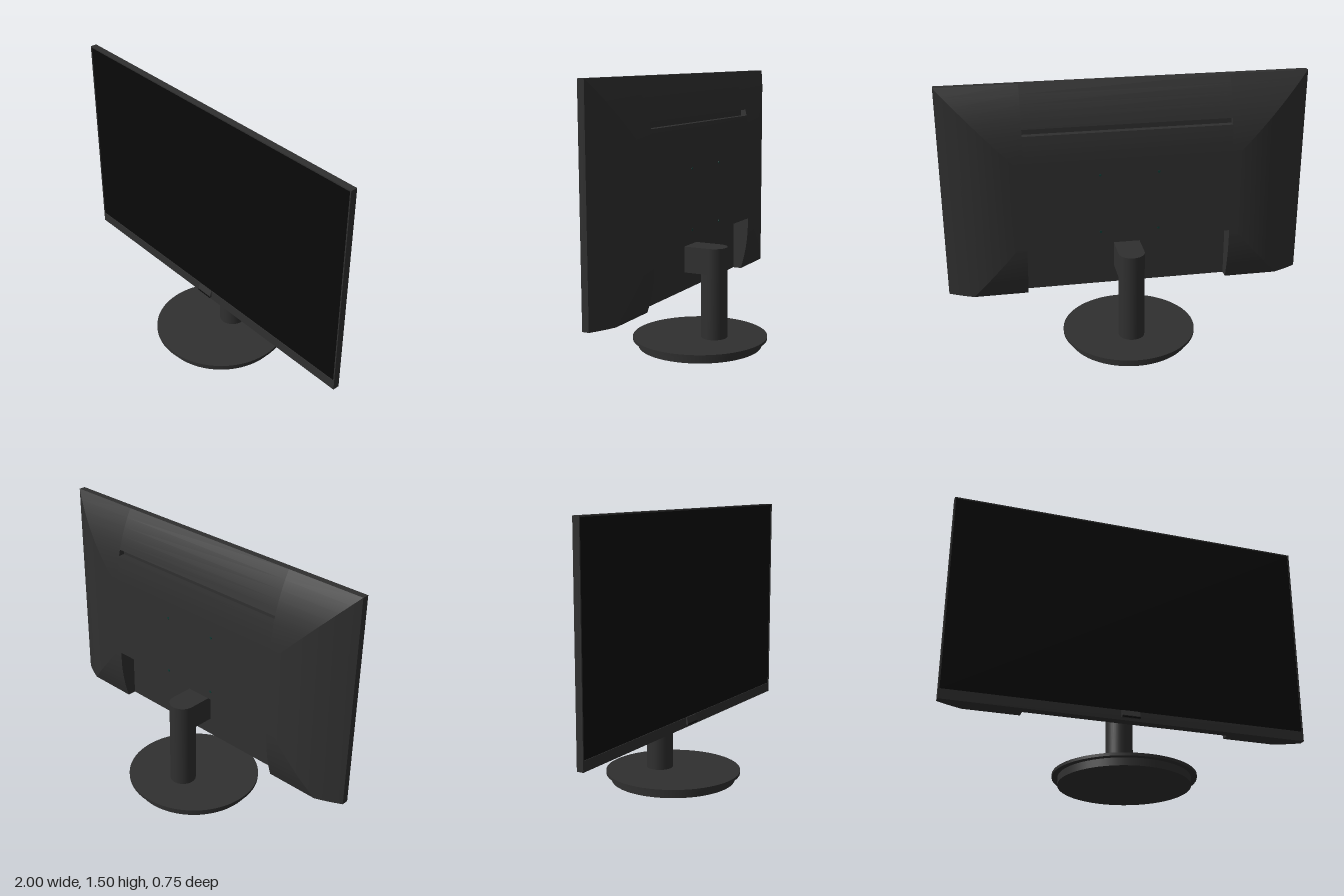
import * as THREE from 'three';
import { mergeGeometries } from 'three/addons/utils/BufferGeometryUtils.js';

const plastic = new THREE.MeshStandardMaterial({ color: 0x303030 });
const shellMat = new THREE.MeshStandardMaterial({ color: 0x303030, side: THREE.DoubleSide });
const darkMat = new THREE.MeshStandardMaterial({ color: 0x0a0a0a });
const screwMat = new THREE.MeshStandardMaterial({ color: 0x123a34 });

const BOTTOM = 0.32, TOP = 1.5, CUT_X = 0.565, CUT_Y = 0.63, FLOOR_Z = 0.06;

function add(parent, name, geometry, material, x = 0, y = 0, z = 0) {
  const mesh = new THREE.Mesh(geometry, material);
  mesh.name = name;
  mesh.position.set(x, y, z);
  parent.add(mesh);
  return mesh;
}

// Surface through rows of [left, right] points, ordered upwards as seen from outside
function strip(rows) {
  const g = new THREE.BufferGeometry();
  const index = [];
  for (let i = 0; i < rows.length - 1; i++) {
    const a = i * 2;
    index.push(a, a + 1, a + 3, a, a + 3, a + 2);
  }
  g.setAttribute('position', new THREE.Float32BufferAttribute(rows.flat(2), 3));
  g.setIndex(index);
  g.computeVertexNormals();
  return g;
}

// Rounded rear profile: s = 0 at the flat back, s = 1 at the front frame
const SLOT0 = 0.3625, SLOT1 = 0.45, FOOT = 0.64;
const steps = [0, 0.12, 0.24, SLOT0, SLOT1, 0.545, FOOT, 0.76, 0.88, 1];
const depth = s => -0.035 + 0.11 * s * s;
const halfW = s => 0.62 + 0.38 * s;
const topY = s => 1.1 + 0.4 * s;
const lowY = s => 0.6 - 0.28 * Math.min(1, s / FOOT);

function backShell() {
  const parts = [];
  const sweep = (list, a, b) => parts.push(strip(list.map(s => [a(s), b(s)])));
  const topAt = x => s => [x, topY(s), depth(s)];
  const lowAt = x => s => [x, lowY(s), depth(s)];
  const corner = (side, yOf) => s => [side * halfW(s), yOf(s), depth(s)];

  // Top slope, split so the vent slot stays open
  sweep(steps, corner(1, topY), topAt(CUT_X));
  sweep(steps, topAt(-CUT_X), corner(-1, topY));
  sweep(steps.filter(s => s <= SLOT0), topAt(CUT_X), topAt(-CUT_X));
  sweep(steps.filter(s => s >= SLOT1), topAt(CUT_X), topAt(-CUT_X));
  // Side slopes
  sweep(steps, corner(-1, topY), corner(-1, lowY));
  sweep(steps, corner(1, lowY), corner(1, topY));
  // Bottom slopes on both sides of the recess, with a crease at the foot
  for (const list of [steps.filter(s => s <= FOOT), steps.filter(s => s >= FOOT)]) {
    sweep(list, corner(-1, lowY), lowAt(-CUT_X));
    sweep(list, lowAt(CUT_X), corner(1, lowY));
  }
  // Flat back with the notch of the recess
  const h = [[-0.62, 0.6], [-0.62, 1.1], [0.62, 1.1], [0.62, 0.6],
    [CUT_X, 0.6], [CUT_X, CUT_Y], [-CUT_X, CUT_Y], [-CUT_X, 0.6]];
  const flat = new THREE.ShapeGeometry(new THREE.Shape(h.map(p => new THREE.Vector2(-p[0], p[1]))));
  flat.rotateY(Math.PI).translate(0, 0, depth(0));
  flat.deleteAttribute('uv');
  parts.push(flat);
  return mergeGeometries(parts);
}

// Shallow pocket of the vent slot
function ventSlot() {
  const y0 = topY(SLOT0), y1 = topY(SLOT1), z0 = depth(SLOT0), z1 = depth(SLOT1), zi = 0.015;
  const line = [[y0, z0], [y0, zi], [y1, zi], [y1, z1]];
  const row = ([y, z]) => [[CUT_X, y, z], [-CUT_X, y, z]];
  const parts = [0, 1, 2].map(i => strip([row(line[i]), row(line[i + 1])]));
  for (const x of [CUT_X, -CUT_X]) {
    const ends = [[[x, y0, z0], [x, y0, zi]], [[x, y1, z1], [x, y1, zi]]];
    parts.push(strip(x > 0 ? ends : ends.map(r => [r[1], r[0]])));
  }
  return mergeGeometries(parts);
}

// Side wall of the recess, drawn in (z, y) and turned to face sideways
function recessWall() {
  const pts = [[FLOOR_Z, CUT_Y], [FLOOR_Z, BOTTOM]];
  for (const s of steps.filter(v => v <= FOOT).reverse()) pts.push([depth(s), lowY(s)]);
  pts.push([depth(0), CUT_Y]);
  const shape = new THREE.Shape(pts.map(p => new THREE.Vector2(-p[0], p[1])));
  return new THREE.ShapeGeometry(shape).rotateY(Math.PI / 2);
}

function rect(shape, x0, y0, x1, y1) {
  shape.moveTo(x0, y0);
  shape.lineTo(x1, y0);
  shape.lineTo(x1, y1);
  shape.lineTo(x0, y1);
  shape.closePath();
  return shape;
}

export function createModel() {
  const model = new THREE.Group();
  model.name = 'monitor';

  // Display: frame, bezel with chin, panel
  const display = new THREE.Group();
  display.name = 'display';
  model.add(display);
  const H = TOP - BOTTOM;
  add(display, 'frame', new THREE.BoxGeometry(2, H, 0.03), plastic, 0, BOTTOM + H / 2, 0.09);
  const bezel = rect(new THREE.Shape(), -1, BOTTOM, 1, TOP);
  bezel.holes.push(rect(new THREE.Path(), -0.993, 0.375, 0.993, TOP - 0.007));
  add(display, 'bezel', new THREE.ExtrudeGeometry(bezel, { depth: 0.007, bevelEnabled: false }), plastic, 0, 0, 0.105);
  add(display, 'screen', new THREE.PlaneGeometry(1.986, 1.118), darkMat, 0, 0.934, 0.108);

  // Small wedge-shaped tab under the chin
  const tab = new THREE.Shape([[0, 0.375], [0, 0.335], [0.012, 0.335], [0.014, 0.345], [0.004, 0.375]]
    .map(p => new THREE.Vector2(-p[0], p[1])));
  const tabGeo = new THREE.ExtrudeGeometry(tab, { depth: 0.1, bevelEnabled: false });
  add(display, 'chinTab', tabGeo.rotateY(Math.PI / 2), plastic, -0.05, 0, 0.111);
  add(display, 'chinTabGap', new THREE.BoxGeometry(0.1, 0.006, 0.004), darkMat, 0, 0.338, 0.1245);

  // Rear housing
  add(display, 'backShell', backShell(), shellMat);
  add(display, 'ventSlot', ventSlot(), shellMat);
  add(display, 'recessFloor', new THREE.BoxGeometry(2 * CUT_X, CUT_Y - BOTTOM, 0.02), plastic,
    0, (CUT_Y + BOTTOM) / 2, FLOOR_Z + 0.01);
  for (const side of [-1, 1]) add(display, 'recessWall', recessWall(), shellMat, side * CUT_X);
  const ceiling = new THREE.PlaneGeometry(2 * CUT_X, FLOOR_Z - depth(0)).rotateX(Math.PI / 2);
  add(display, 'recessCeiling', ceiling, shellMat, 0, CUT_Y, (FLOOR_Z + depth(0)) / 2);

  // Mounting screws
  for (const x of [-0.16, 0.16]) for (const y of [0.68, 1.01]) {
    add(display, 'mountScrew', new THREE.CylinderGeometry(0.007, 0.007, 0.004, 12).rotateX(Math.PI / 2),
      screwMat, x, y, depth(0));
  }

  // Stand: post, arm into the recess, two-step round base
  const stand = new THREE.Group();
  stand.name = 'stand';
  model.add(stand);
  add(stand, 'post', new THREE.CylinderGeometry(0.073, 0.073, 0.515, 40), plastic, 0, 0.3075, -0.088);
  add(stand, 'arm', new THREE.BoxGeometry(0.146, 0.145, 0.15), plastic, 0, 0.4925, -0.013);
  add(stand, 'baseFoot', new THREE.CylinderGeometry(0.345, 0.345, 0.042, 64), plastic, 0, 0.021, 0);
  add(stand, 'basePlate', new THREE.CylinderGeometry(0.375, 0.375, 0.015, 64), plastic, 0, 0.0475, 0);
  return model;
}
